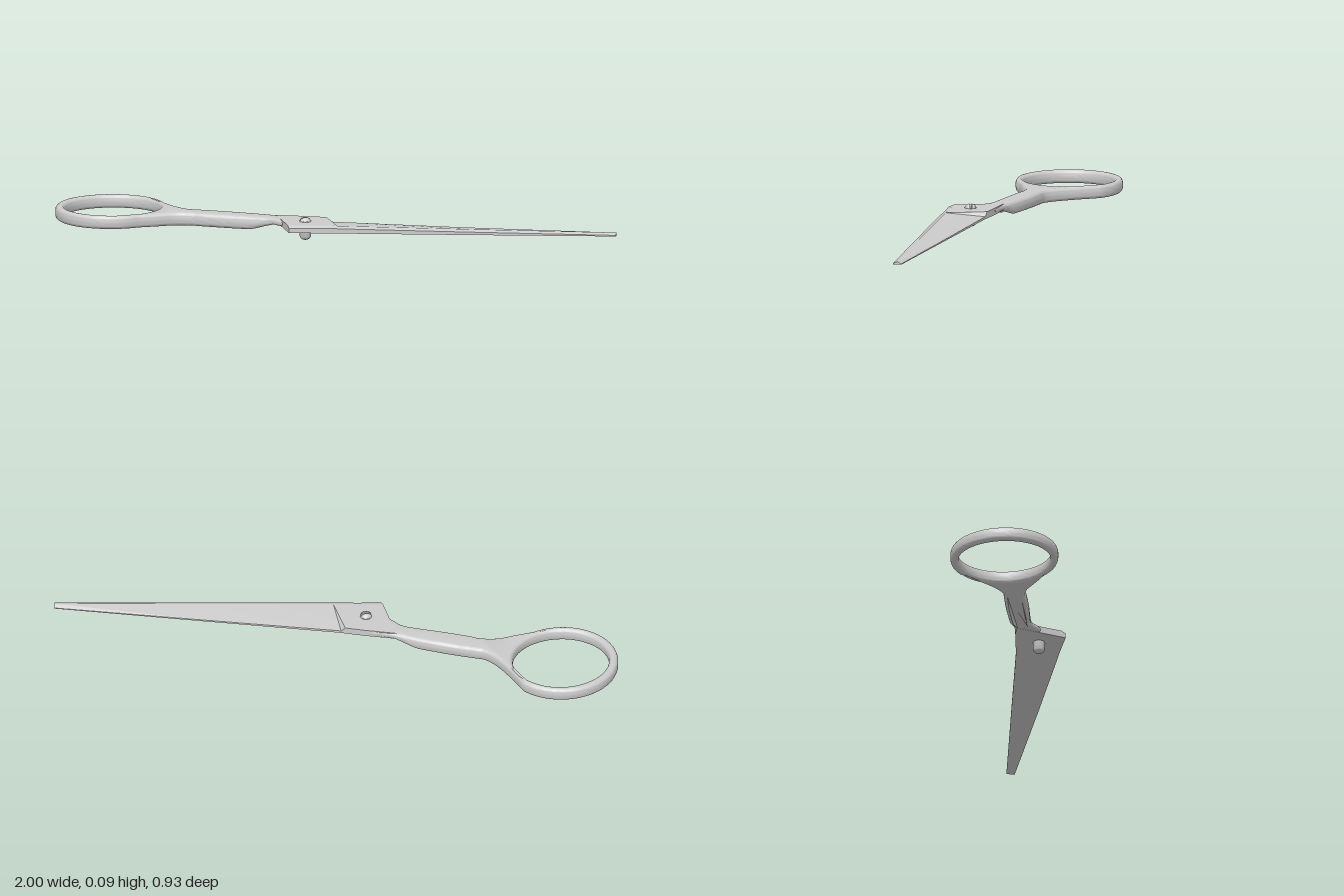
import * as THREE from 'three';
import { toCreasedNormals } from 'three/addons/utils/BufferGeometryUtils.js';

const material = new THREE.MeshStandardMaterial({ color: 0xcccccc });
const thinMaterial = new THREE.MeshStandardMaterial({ color: 0xcccccc, side: THREE.DoubleSide });

function add(parent, name, geometry, mat = material) {
  const mesh = new THREE.Mesh(geometry, mat);
  mesh.name = name;
  parent.add(mesh);
  return mesh;
}

const spline = (pts, n) =>
  new THREE.SplineCurve(pts.map(([x, z]) => new THREE.Vector2(x, z))).getPoints(n);

function ellipse(cx, cz, rx, rz, from, to, n) {
  return Array.from({ length: n + 1 }, (_, i) => {
    const a = THREE.MathUtils.degToRad(from + ((to - from) * i) / n);
    return new THREE.Vector2(cx + rx * Math.cos(a), cz + rz * Math.sin(a));
  });
}

// Finger ring and shank: one rounded outline with a hole, drawn in x and z
function handleGeometry() {
  const ring = ellipse(-0.79, -0.27, 0.21, 0.2, 70, 325, 56);
  const first = ring[0], last = ring[ring.length - 1];
  const innerSide = spline([
    [last.x, last.y], [-0.567, -0.25], [-0.522, -0.176], [-0.476, -0.15],
    [-0.396, -0.112], [-0.28, -0.05], [-0.2, 0], [-0.12, 0.035],
  ], 40);
  const outerSide = spline([
    [-0.19, 0.12], [-0.222, 0.085], [-0.25, 0.05], [-0.33, 0.012], [-0.396, -0.018],
    [-0.48, -0.06], [-0.52, -0.082], [-0.58, -0.095], [-0.65, -0.088], [first.x, first.y],
  ], 40);
  const shape = new THREE.Shape([...ring, ...innerSide.slice(1), ...outerSide.slice(0, -1)]);
  shape.holes.push(new THREE.Path(ellipse(-0.786, -0.268, 0.18, 0.17, 0, 355, 71)));

  const geo = new THREE.ExtrudeGeometry(shape, {
    depth: 0.014, bevelThickness: 0.018, bevelSize: 0.014, bevelOffset: -0.014, bevelSegments: 5,
  });
  geo.rotateX(Math.PI / 2).translate(0, 0.052, 0);

  // The underside ramps up to meet the thin blade
  const p = geo.attributes.position;
  for (let i = 0; i < p.count; i++) {
    const along = p.getX(i) * 0.88 + p.getZ(i) * 0.47;
    const s = THREE.MathUtils.clamp((along + 0.27) / 0.09, 0, 1);
    p.setY(i, 0.07 - (0.07 - p.getY(i)) * (1 - 0.51 * s));
  }
  return toCreasedNormals(geo, 0.6);
}

// Blade: sections from the cutting edge to the thick, chamfered back
function bladeGeometry() {
  const floor = 0.045;
  // cutting edge x, z, top y; back x, z, top y
  const stations = [
    [-0.215, 0.0, 0.0705, -0.2, 0.205, 0.0705],
    [-0.1, 0.043, 0.0705, -0.1, 0.225, 0.0705],
    [-0.035, 0.07, 0.0705, -0.035, 0.239, 0.0705],
    [-0.02, 0.077, 0.054, -0.02, 0.243, 0.07],
    [0.46, 0.245, 0.051, 0.46, 0.35, 0.063],
    [1.0, 0.435, 0.048, 0.992, 0.465, 0.056],
  ];
  const sections = stations.map(([cx, cz, cy, bx, bz, by]) => {
    const width = Math.hypot(bx - cx, bz - cz);
    const k = Math.min(0.018, width * 0.5) / width;
    return [
      [cx, floor, cz],
      [cx, cy, cz],
      [bx + (cx - bx) * k, by, bz + (cz - bz) * k],
      [bx, by - 0.007, bz],
      [bx, floor, bz],
    ];
  });
  const out = [];
  const tri = (a, b, c) => out.push(...a, ...b, ...c);
  const n = 5;
  for (let s = 0; s < sections.length - 1; s++) {
    const A = sections[s], B = sections[s + 1];
    for (let i = 0; i < n; i++) {
      const j = (i + 1) % n;
      tri(A[i], A[j], B[j]);
      tri(A[i], B[j], B[i]);
    }
  }
  // Heel and tip ends
  const A = sections[0], B = sections[sections.length - 1];
  for (let i = 1; i < n - 1; i++) {
    tri(A[0], A[i + 1], A[i]);
    tri(B[0], B[i], B[i + 1]);
  }
  const geo = new THREE.BufferGeometry();
  geo.setAttribute('position', new THREE.Float32BufferAttribute(out, 3));
  geo.computeVertexNormals();
  return toCreasedNormals(geo, 0.2);
}

// Pivot screw: round-ended pin and a domed head split by a slot
function pivotScrew() {
  const screw = new THREE.Group();
  screw.name = 'pivotScrew';
  const r = 0.022, slot = 0.004;

  const pin = [];
  for (let i = 0; i <= 8; i++) {
    const a = (i / 8) * Math.PI / 2;
    pin.push(new THREE.Vector2(r * Math.sin(a), 0.02 * (1 - Math.cos(a))));
  }
  pin.push(new THREE.Vector2(r, 0.073), new THREE.Vector2(0, 0.073));
  add(screw, 'pin', toCreasedNormals(new THREE.LatheGeometry(pin, 28), 0.6));

  const dome = [];
  for (let i = 0; i <= 8; i++) {
    const a = (i / 8) * Math.PI / 2;
    dome.push(new THREE.Vector2((r - 0.001) * Math.cos(a), 0.07 + 0.016 * Math.sin(a)));
  }
  const wall = new THREE.Shape([
    ...dome,
    ...dome.slice(0, -1).reverse().map((v) => new THREE.Vector2(-v.x, v.y)),
  ]);
  for (const side of [1, -1]) {
    const half = new THREE.Group();
    half.name = side > 0 ? 'frontHeadHalf' : 'backHeadHalf';
    add(half, 'dome', new THREE.LatheGeometry(dome, 16, -Math.PI / 2, Math.PI), thinMaterial)
      .scale.z = (r - slot) / r;
    add(half, 'slotWall', new THREE.ShapeGeometry(wall), thinMaterial);
    half.position.z = side * slot;
    if (side < 0) half.rotation.y = Math.PI;
    screw.add(half);
  }
  screw.position.set(-0.125, 0, 0.127);
  return screw;
}

export function createModel() {
  const model = new THREE.Group();
  model.name = 'scissorHalf';
  add(model, 'handle', handleGeometry());
  add(model, 'blade', bladeGeometry());
  model.add(pivotScrew());
  return model;
}
